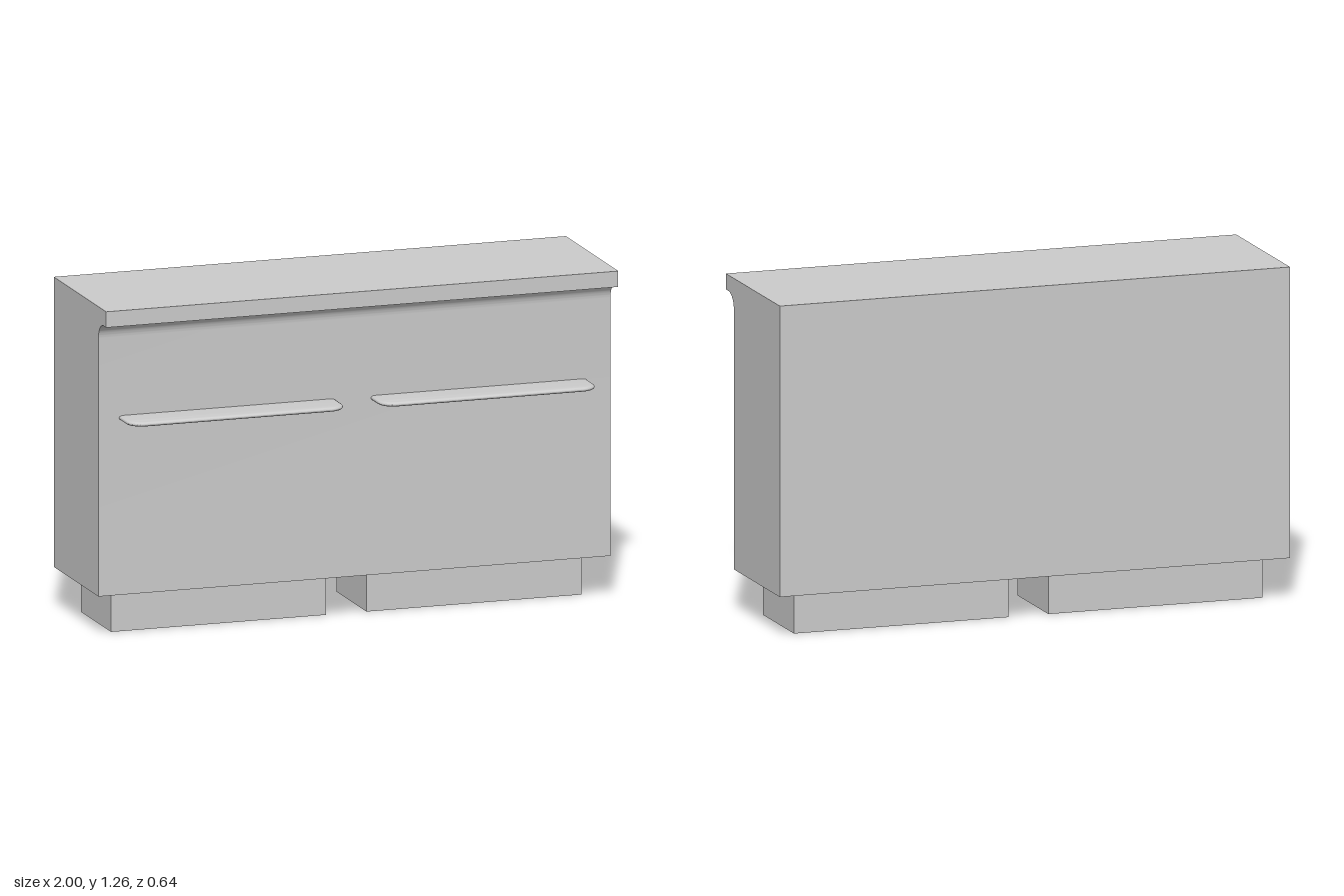
import * as THREE from 'three';
import { toCreasedNormals } from 'three/addons/utils/BufferGeometryUtils.js';

const material = new THREE.MeshStandardMaterial({ color: 0xcccccc });
const thinMaterial = new THREE.MeshStandardMaterial({ color: 0xcccccc, side: THREE.DoubleSide });

function addMesh(parent, name, geometry, mat = material) {
  const mesh = new THREE.Mesh(geometry, mat);
  mesh.name = name;
  parent.add(mesh);
  return mesh;
}

// Cabinet side profile (z, y) with a coved overhanging top, swept along x
function cabinetGeometry() {
  const s = new THREE.Shape();
  s.moveTo(-0.32, 0.16);
  s.lineTo(0.185, 0.16);
  s.lineTo(0.185, 1.14);
  s.absarc(0.245, 1.14, 0.06, Math.PI, Math.PI / 2, true);
  s.lineTo(0.273, 1.2);
  s.lineTo(0.273, 1.26);
  s.lineTo(-0.32, 1.26);
  s.closePath();
  const g = new THREE.ExtrudeGeometry(s, { depth: 2, bevelEnabled: false, curveSegments: 10 });
  g.rotateY(-Math.PI / 2).translate(1, 0, 0);
  return toCreasedNormals(g, 0.5);
}

// Flat shelf-like pull with rounded front corners and a soft rim
function handleGeometry() {
  const bevel = 0.015, half = 0.422 - bevel, back = 0.17, front = 0.32 - bevel, r = 0.045;
  const s = new THREE.Shape();
  s.moveTo(-half, back);
  s.lineTo(half, back);
  s.lineTo(half, front - r);
  s.absarc(half - r, front - r, r, 0, Math.PI / 2, false);
  s.absarc(-half + r, front - r, r, Math.PI / 2, Math.PI, false);
  s.closePath();
  const g = new THREE.ExtrudeGeometry(s, {
    depth: 0.002, bevelThickness: 0.008, bevelSize: bevel, bevelSegments: 5, curveSegments: 8,
  });
  g.rotateX(Math.PI / 2).translate(0, 0.832, 0);
  return toCreasedNormals(g, 0.6);
}

// Hollow plinth: four thin walls, open above and below
function plinthGeometry(width, height, depth) {
  const g = new THREE.BoxGeometry(width, height, depth);
  const index = Array.from(g.index.array);
  g.setIndex([...index.slice(0, 12), ...index.slice(24)]);
  g.clearGroups();
  return g;
}

export function createModel() {
  const model = new THREE.Group();
  model.name = 'sideboard';

  addMesh(model, 'cabinetBody', cabinetGeometry());

  const handle = handleGeometry();
  const plinth = plinthGeometry(0.84, 0.16, 0.34);
  for (const [side, handleX, plinthX] of [['right', -0.497, -0.5], ['left', 0.486, 0.497]]) {
    addMesh(model, side + 'Handle', handle).position.x = handleX;
    addMesh(model, side + 'Plinth', plinth, thinMaterial).position.set(plinthX, 0.08, -0.073);
  }
  return model;
}
